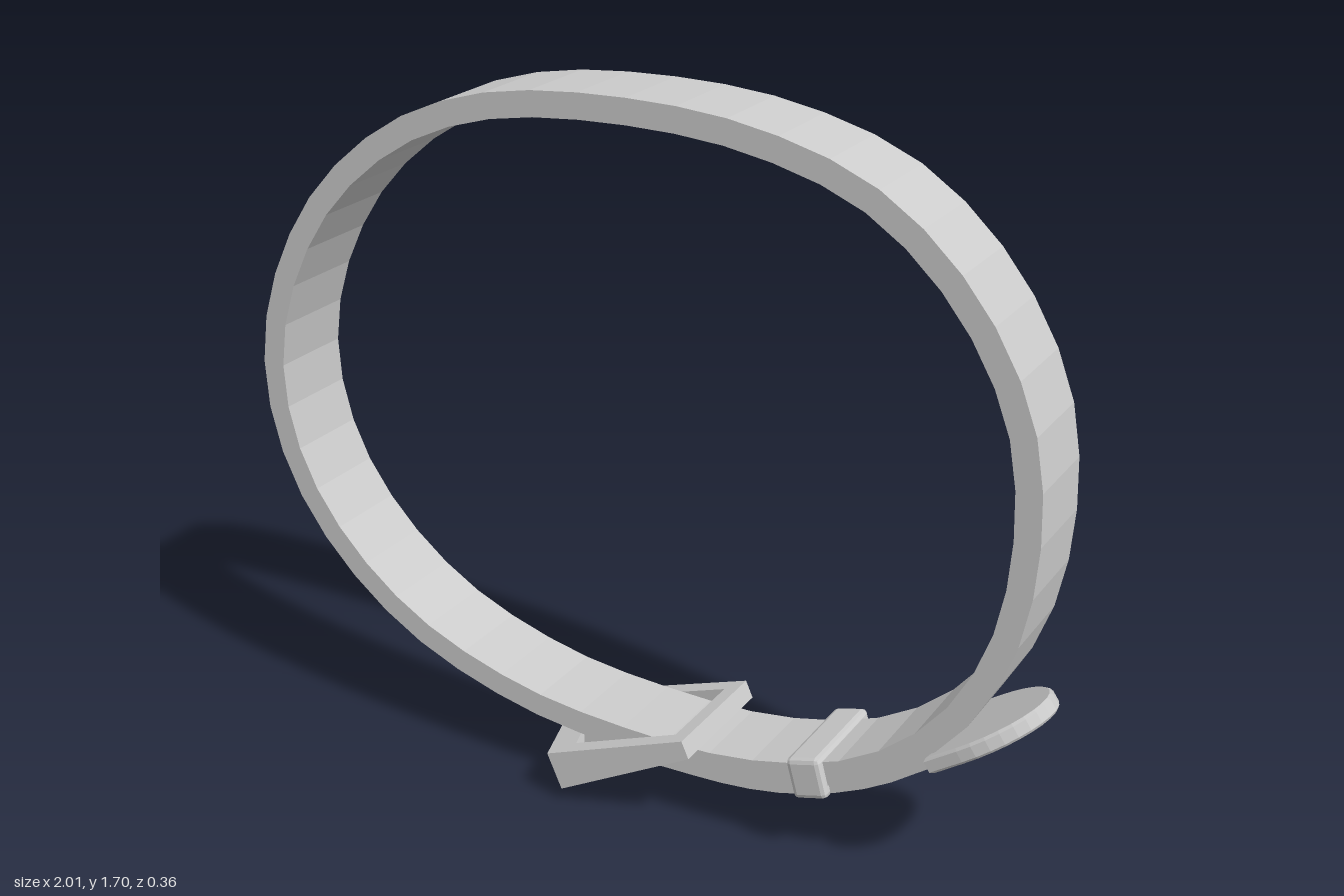
import * as THREE from 'three';
import { RoundedBoxGeometry } from 'three/addons/geometries/RoundedBoxGeometry.js';

const V2 = (x, y) => new THREE.Vector2(x, y);
const V3 = (x, y, z = 0) => new THREE.Vector3(x, y, z);
const material = new THREE.MeshStandardMaterial({ color: 0xcccccc, flatShading: true });

function part(group, name, geometry) {
  const mesh = new THREE.Mesh(geometry, material);
  mesh.name = name;
  group.add(mesh);
  return mesh;
}

// Points along a curve in the xy plane, moved sideways to the left of travel
function offsetPoints(curve, count, distance, closed) {
  const out = [];
  for (let i = 0; i < count; i++) {
    const t = i / (closed ? count : count - 1);
    const p = curve.getPointAt(t), d = curve.getTangentAt(t);
    out.push(V2(p.x - d.y * distance, p.y + d.x * distance));
  }
  return out;
}

// Leather of one width, leaning very slightly back towards the top
function strapGeometry(shape, width) {
  const g = new THREE.ExtrudeGeometry(shape, { depth: width, bevelEnabled: false });
  g.translate(0, 0, -width / 2);
  const p = g.attributes.position;
  for (let i = 0; i < p.count; i++) p.setZ(i, p.getZ(i) - 0.008 * p.getY(i));
  g.computeVertexNormals();
  return g;
}

// Moves a plate drawn in (length, width, thickness) to a slope in the xy plane
function layPlate(g, x, y, angle) {
  const d = V3(Math.cos(angle), Math.sin(angle)), z = V3(0, 0, 1);
  const m = new THREE.Matrix4().makeBasis(d, z, d.clone().cross(z)).setPosition(x, y, 0);
  g.applyMatrix4(m);
  g.computeVertexNormals();
  return g;
}

const curveOf = (pairs, closed) =>
  new THREE.CatmullRomCurve3(pairs.map(([x, y]) => V3(x, y)), closed, 'centripetal');

export function createModel() {
  const model = new THREE.Group();
  model.name = 'belt';

  // Main loop
  const loop = curveOf([
    [0.98, 0.91], [0.945, 1.17], [0.81, 1.41], [0.6, 1.59], [0.33, 1.68],
    [0, 1.705], [-0.35, 1.67], [-0.6, 1.57], [-0.82, 1.38], [-0.96, 1.13],
    [-1, 0.9], [-0.95, 0.67], [-0.82, 0.47], [-0.6, 0.295], [-0.3, 0.185],
    [0, 0.15], [0.33, 0.16], [0.62, 0.25], [0.82, 0.415], [0.94, 0.64],
  ], true);
  const loopShape = new THREE.Shape(offsetPoints(loop, 48, 0, true));
  loopShape.holes.push(new THREE.Path(offsetPoints(loop, 48, 0.058, true)));
  part(model, 'strapLoop', strapGeometry(loopShape, 0.215));

  // Free end lying outside the loop, from the buckle to the tip
  const tail = curveOf([
    [-0.1, 0.13], [0.1, 0.13], [0.33, 0.14], [0.49, 0.175],
    [0.65, 0.245], [0.78, 0.335], [0.93, 0.438],
  ], false);
  const tailShape = new THREE.Shape([
    ...offsetPoints(tail, 16, 0, false),
    ...offsetPoints(tail, 16, 0.03, false).reverse(),
  ]);
  part(model, 'strapTail', strapGeometry(tailShape, 0.205));

  // Rounded metal tip with a hollowed inner edge
  const tip = new THREE.Shape();
  tip.moveTo(0, -0.127);
  tip.lineTo(0.08, -0.127);
  tip.absellipse(0.08, 0, 0.18, 0.127, -Math.PI / 2, Math.PI / 2, false);
  tip.lineTo(0, 0.127);
  tip.quadraticCurveTo(0.06, 0, 0, -0.127);
  const tipGeometry = new THREE.ExtrudeGeometry(tip, {
    depth: 0.026, curveSegments: 8, bevelThickness: 0.006, bevelSize: 0.006, bevelSegments: 1,
  });
  tipGeometry.translate(0, 0, -0.013);
  part(model, 'strapTip', layPlate(tipGeometry, 0.782, 0.352, 0.6)).position.z = -0.006;

  // Keeper band
  const keeper = part(model, 'keeper', new RoundedBoxGeometry(0.085, 0.1, 0.268, 1, 0.012));
  keeper.position.set(0.492, 0.225, -0.01);
  keeper.rotation.z = 0.27;

  // Buckle frame: pointed at one end and thickening towards the point
  const frame = new THREE.Shape([
    V2(0, -0.16), V2(0.375, -0.178), V2(0.443, 0), V2(0.375, 0.178), V2(0, 0.16),
  ]);
  frame.holes.push(new THREE.Path([
    V2(0.04, -0.12), V2(0.04, 0.12), V2(0.32, 0.13), V2(0.37, 0), V2(0.32, -0.13),
  ]));
  const frameGeometry = new THREE.ExtrudeGeometry(frame, { depth: 1, bevelEnabled: false });
  const p = frameGeometry.attributes.position;
  for (let i = 0; i < p.count; i++) {
    p.setZ(i, (p.getZ(i) - 0.5) * (0.045 + 0.13 * p.getX(i)));
  }
  part(model, 'buckleFrame', layPlate(frameGeometry, 0.205, 0.233, Math.PI + 0.42));

  // Buckle prong, tapering towards the point
  const prongGeometry = new THREE.CylinderGeometry(0.02, 0.03, 0.17, 6);
  const prong = part(model, 'buckleProng', prongGeometry);
  const from = V3(0.02, 0.115), to = V3(-0.14, 0.065);
  prong.position.copy(from).lerp(to, 0.5);
  prong.quaternion.setFromUnitVectors(V3(0, 1, 0), to.sub(from).normalize());

  return model;
}
